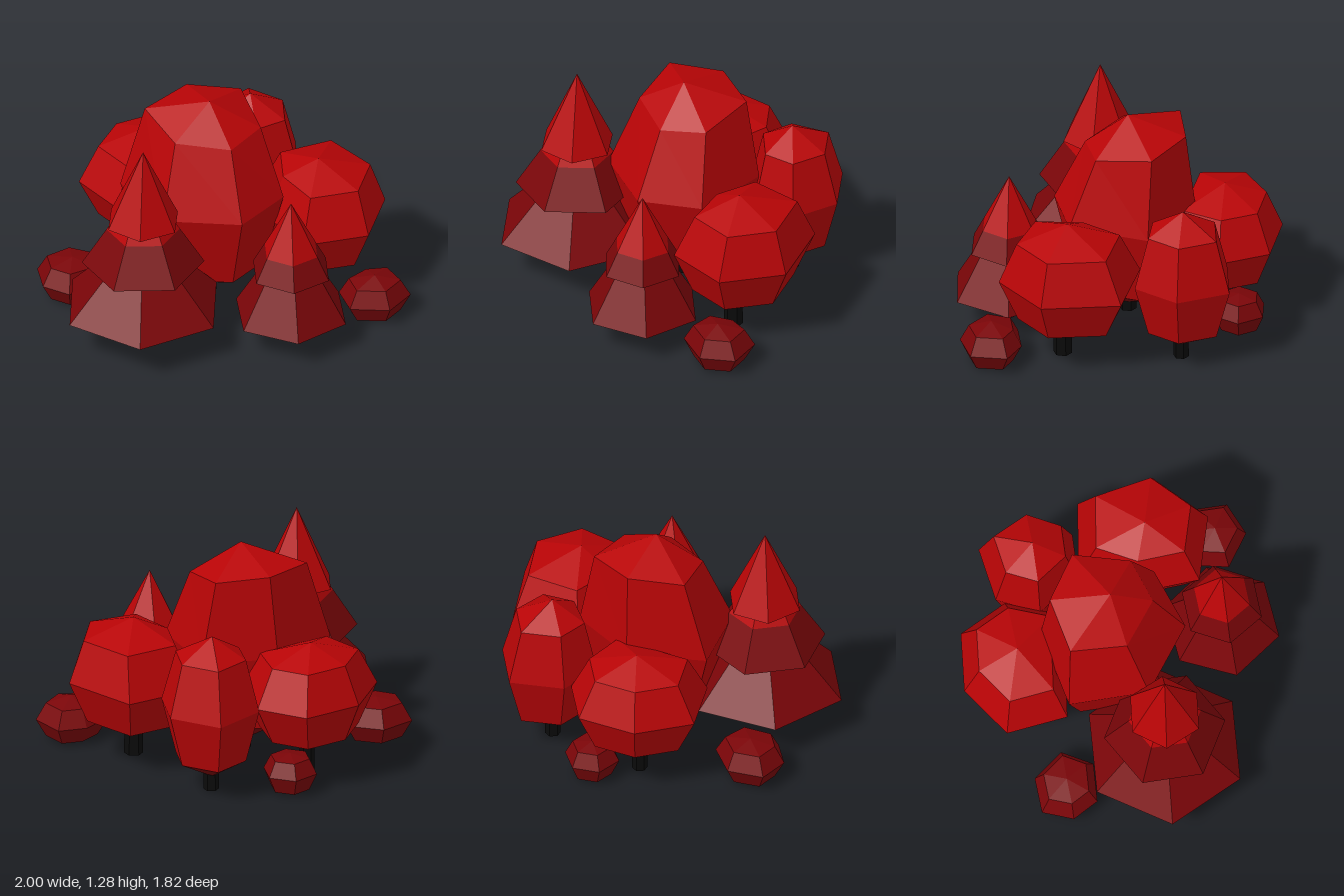
import * as THREE from 'three';

const material = (name, color) => {
  const m = new THREE.MeshStandardMaterial({ color, flatShading: true });
  m.name = name;
  return m;
};

export function createModel() {
  const root = new THREE.Group();
  root.name = 'treeGrove';
  const light = material('bright red leaves', 0xb80406);
  const dark = material('deep red leaves', 0x7a0508);
  const bark = material('black bark', 0x0a0a0a);

  const add = (parent, name, geometry, mat) => {
    const mesh = new THREE.Mesh(geometry, mat);
    mesh.name = name;
    parent.add(mesh);
    return mesh;
  };
  const group = (name) => {
    const g = new THREE.Group();
    g.name = name;
    root.add(g);
    return g;
  };

  // Six-sided trunk standing on the ground
  const trunk = (parent, x, z, r, h) => {
    add(parent, 'trunk', new THREE.CylinderGeometry(r * 0.85, r, h, 6), bark).position.set(x, h / 2, z);
  };

  // Faceted skin between successive rings; a ring of one point closes an end
  const loft = (rings) => {
    const pos = [];
    const at = (ring, i) => ring[i % ring.length];
    for (let k = 0; k < rings.length - 1; k++) {
      const a = rings[k], b = rings[k + 1];
      for (let i = 0; i < 6; i++) {
        if (a.length > 1) pos.push(...at(a, i), ...at(a, i + 1), ...at(b, i));
        if (b.length > 1) pos.push(...at(a, i + 1), ...at(b, i + 1), ...at(b, i));
      }
    }
    const g = new THREE.BufferGeometry();
    g.setAttribute('position', new THREE.Float32BufferAttribute(pos, 3));
    g.computeVertexNormals();
    return g;
  };

  // Rounded crown: a six-point outline at mid height, shrunk above and below, with a dark underside
  const crown = (parent, mat, {
    outline, c, top, mid, bottom, tilt = 0, shift = [0, 0], shrink = 0.72, rise = 0.72, drop = 0.72,
  }) => {
    const ring = (y, s, lean, dx, dz) => outline.map(([x, z]) => {
      const pz = (z - c[1]) * s;
      return [c[0] + (x - c[0]) * s + dx, y + lean * pz, c[1] + pz + dz];
    });
    const low = ring(mid - (mid - bottom) * drop, 0.72, 0, 0, 0);
    add(parent, 'leaves', loft([
      [[c[0], top, c[1]]],
      ring(mid + (top - mid) * rise, shrink, tilt, ...shift),
      ring(mid, 1, 0, 0, 0),
      low,
    ]), mat);
    add(parent, 'underside', loft([low, [[c[0], bottom, c[1]]]]), dark);
  };

  const hexagon = (x, z, r, phase = 0) => Array.from({ length: 6 }, (_, i) => {
    const a = phase + i * Math.PI / 3;
    return [x + r * Math.sin(a), z - r * Math.cos(a)];
  });

  // Broadleaf trees
  const roundTrees = [
    { name: 'tallTree', c: [0.03, -0.06], stem: [0.02, -0.06, 0.05], top: 1.28, mid: 0.69, bottom: 0.04,
      tilt: -0.17, shift: [0.02, -0.06], shrink: 0.71, rise: 0.76,
      outline: [[0.03, -0.46], [0.42, -0.26], [0.37, 0.21], [0.03, 0.37], [-0.36, 0.14], [-0.41, -0.32]] },
    { name: 'sideTree', c: [0.61, 0.17], stem: [0.59, 0.2, 0.055], top: 0.86, mid: 0.51, bottom: 0.16,
      shift: [0.02, 0], shrink: 0.73,
      outline: [[0.44, -0.22], [0.87, -0.2], [1.0, 0.24], [0.75, 0.54], [0.37, 0.47], [0.31, 0.1]] },
    { name: 'slimTree', c: [0.49, -0.48], stem: [0.49, -0.47, 0.045], top: 0.95, mid: 0.52, bottom: 0.08,
      outline: [[0.31, -0.7], [0.62, -0.78], [0.79, -0.51], [0.68, -0.24], [0.42, -0.22], [0.22, -0.45]] },
    { name: 'backTree', c: [-0.1, -0.6], stem: [-0.1, -0.56, 0.045], top: 0.82, mid: 0.51, bottom: 0.18,
      outline: [[-0.23, -0.91], [0.12, -0.91], [0.29, -0.65], [0.2, -0.32], [-0.42, -0.33], [-0.5, -0.68]] },
  ];
  for (const tree of roundTrees) {
    const g = group(tree.name);
    crown(g, light, tree);
    trunk(g, ...tree.stem, tree.mid);
  }

  // Low bushes
  const bushes = [
    { c: [-0.7, -0.35], top: 0.25, rise: 0.8, drop: 0.88,
      outline: [[-0.85, -0.5], [-0.64, -0.53], [-0.49, -0.37], [-0.57, -0.19], [-0.8, -0.18], [-0.9, -0.32]] },
    { c: [0.77, 0.58], top: 0.26, drop: 0.85,
      outline: [[0.6, 0.46], [0.78, 0.4], [0.94, 0.45], [0.96, 0.66], [0.78, 0.76], [0.58, 0.65]] },
    { c: [0.12, -0.73], top: 0.23, rise: 0.8, drop: 0.85, outline: hexagon(0.12, -0.73, 0.16, 0.35) },
  ];
  for (const bush of bushes) crown(group('bush'), dark, { ...bush, mid: 0.12, bottom: 0 });

  // Conifers: stacked six-sided cones, coloured bright above the split height
  const conifer = (name, x, z, trunkR, split, tiers) => {
    const g = group(name);
    trunk(g, x, z, trunkR, tiers[0][0] + 0.1);
    const piece = (r0, r1, y0, y1, turn, mat) => {
      const geo = new THREE.CylinderGeometry(r1, r0, y1 - y0, 6).rotateY(turn);
      add(g, 'leafTier', geo, mat).position.set(x, (y0 + y1) / 2, z);
    };
    for (const [y, r, tip, turn] of tiers) {
      if (y >= split) piece(r, 0, y, tip, turn, light);
      else if (tip <= split) piece(r, 0, y, tip, turn, dark);
      else {
        const rs = r * (tip - split) / (tip - y);
        piece(r, rs, y, split, turn, dark);
        piece(rs, 0, split, tip, turn, light);
      }
    }
  };
  conifer('tallConifer', -0.525, 0.22, 0.042, 0.735, [
    [0.22, 0.475, 0.735, Math.PI / 6 + 0.04],
    [0.51, 0.35, 1.07, 0.1],
    [0.79, 0.22, 1.26, Math.PI / 6],
  ]);
  conifer('smallConifer', 0.235, 0.59, 0.05, 0.59, [
    [0.17, 0.34, 0.75, Math.PI / 6 + 0.2],
    [0.45, 0.24, 0.91, Math.PI / 6 + 0.15],
  ]);

  return root;
}
